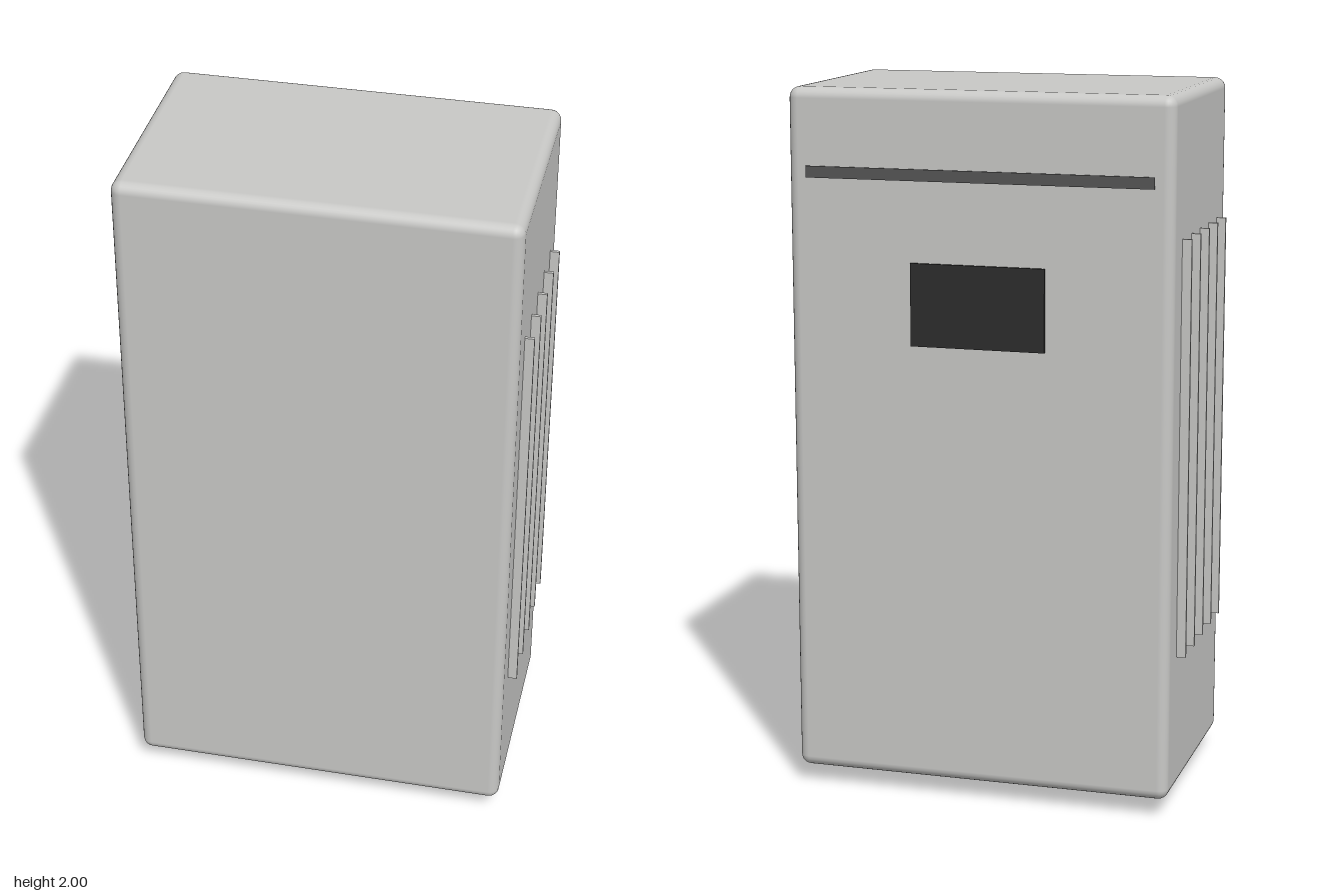
import * as THREE from 'three';
import { RoundedBoxGeometry } from 'three/addons/geometries/RoundedBoxGeometry.js';

const material = (name, color) => {
  const m = new THREE.MeshStandardMaterial({ color });
  m.name = name;
  return m;
};

export function createModel() {
  const shell = material('light grey', 0xc8c8c6);
  const metal = material('pale metal', 0xd0d0ce);
  const trim = material('dark grey', 0x555555);
  const black = material('black', 0x2c2c2c);
  const red = material('red', 0xcc3333);

  const group = new THREE.Group();
  const add = (name, geometry, mat, x, y, z) => {
    const mesh = new THREE.Mesh(geometry, mat);
    mesh.name = name;
    mesh.position.set(x, y, z);
    group.add(mesh);
    return mesh;
  };

  // Cabinet with softly rounded edges
  add('cabinet', new RoundedBoxGeometry(1.086, 1.95, 0.67, 3, 0.03), shell, 0, 1.025, 0.002);

  // Cooling fins on both sides
  const fin = new THREE.BoxGeometry(0.04, 1.17, 0.009);
  for (const side of [-1, 1]) {
    for (let i = -2; i <= 2; i++) {
      add('coolingFin', fin, shell, side * 0.549, 1.025, i * 0.1125 + 0.001);
    }
  }

  // Trim strip and display on the back face
  add('trimStrip', new THREE.BoxGeometry(0.98, 0.032, 0.008), trim, 0, 1.77, -0.333);
  add('display', new THREE.BoxGeometry(0.38, 0.23, 0.009), black, 0, 1.415, -0.3355);

  // Plugs hanging from the underside, each reaching up into the cabinet
  const plug = (name, x, radius, bottom, mat) => {
    const height = 0.07 - bottom;
    add(name, new THREE.CylinderGeometry(radius, radius, height, 16), mat, x, bottom + height / 2, 0.003);
  };

  // Alternating power terminals
  for (let i = 0; i < 8; i++) {
    const isRed = i % 2 === 0;
    plug(isRed ? 'positiveTerminal' : 'negativeTerminal', -0.422 + i * 0.061, 0.018, 0, isRed ? red : black);
  }

  // Signal sockets and cable glands
  plug('signalSocket', 0.12, 0.014, 0.017, metal);
  plug('signalSocket', 0.22, 0.014, 0.017, metal);
  add('dataPort', new THREE.BoxGeometry(0.05, 0.06, 0.034), metal, 0.322, 0.04, 0.003);
  plug('cableGland', 0.355, 0.018, 0.01, metal);
  plug('cableGland', 0.392, 0.019, 0.01, metal);
  plug('earthPin', 0.465, 0.011, 0.028, metal);

  return group;
}
